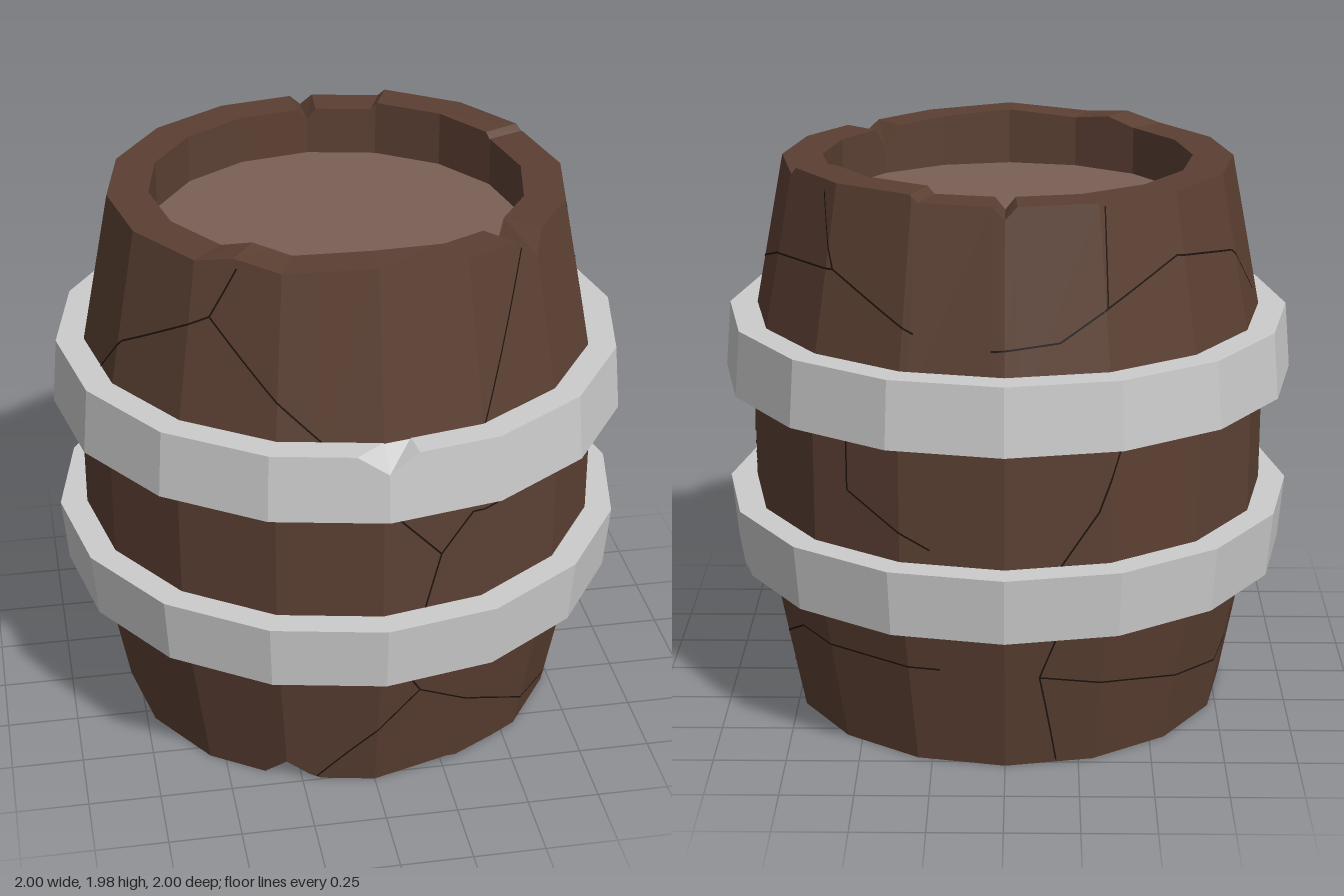
import * as THREE from 'three';

const SIDES = 16, STEP = 360 / SIDES;
const rad = THREE.MathUtils.degToRad;
const wood = new THREE.MeshStandardMaterial({ color: 0x5c4033, flatShading: true });
const lidWood = new THREE.MeshStandardMaterial({ color: 0x7a6055, flatShading: true });
const crackWood = new THREE.MeshStandardMaterial({ color: 0x1c120d, side: THREE.DoubleSide });
const metal = new THREE.MeshStandardMaterial({ color: 0xcccccc, flatShading: true });

// Point on a 16-sided prism; azimuth in degrees from the front (+z) towards +x
function polar(az, r, y) {
  const d = ((az % STEP) + STEP) % STEP - STEP / 2;
  const k = r * Math.cos(rad(STEP / 2)) / Math.cos(rad(d));
  return [k * Math.sin(rad(az)), y, k * Math.cos(rad(az))];
}

// Linear lookup through [azimuth, value] keys
function sample(keys, az) {
  for (let i = 1; i < keys.length; i++) {
    const [a, u] = keys[i - 1], [b, v] = keys[i];
    if (az <= b) return u + (v - u) * (az - a) / (b - a);
  }
  return keys[0][1];
}

// Sweep a profile around the axis, with extra stations where the edge is chipped
function sweep(profileAt, extraAngles) {
  const stations = new Set(extraAngles);
  for (let i = 0; i <= SIDES; i++) stations.add(i * STEP);
  const angles = [...stations].sort((a, b) => a - b);
  const pos = [], index = [];
  const n = profileAt(0).length;
  for (const az of angles) for (const [r, y] of profileAt(az)) pos.push(...polar(az, r, y));
  for (let i = 0; i < angles.length - 1; i++) {
    for (let j = 0; j < n - 1; j++) {
      const a = i * n + j, b = a + n;
      index.push(a, b, b + 1, a, b + 1, a + 1);
    }
  }
  const geo = new THREE.BufferGeometry();
  geo.setAttribute('position', new THREE.Float32BufferAttribute(pos, 3));
  geo.setIndex(index);
  const flat = geo.toNonIndexed();
  flat.computeVertexNormals();
  return flat;
}

// Outer barrel radius at a height
function barrelRadius(y) {
  if (y < 0.67) return 0.78 + 0.125 * y / 0.67;
  if (y > 1.31) return 0.905 - 0.125 * (y - 1.31) / 0.64;
  return 0.905;
}

// Worn rim heights: notches, a raised stave block and slight waves
const topRim = [[0, 1.98], [22.5, 1.963], [39, 1.95], [45, 1.88], [50, 1.95], [113, 1.95], [114.5, 1.972],
  [157, 1.975], [159, 1.95], [177, 1.95], [180, 1.91], [183, 1.95], [315, 1.95], [325, 1.98], [337.5, 1.96], [360, 1.98]];
const bottomRim = [[0, 0], [20, 0.03], [36, 0.01], [67.5, 0], [331, 0], [337.5, 0.08], [343, 0.02], [346, 0], [360, 0]];

// Thin crack lines as [azimuth, height] paths
const cracks = [
  [[326, 1.95], [320, 1.78], [347, 1.42]],
  [[320, 1.78], [294, 1.58], [284, 1.42]],
  [[40, 1.93], [23, 1.42]],
  [[0, 1.19], [13, 0.97], [9.5, 0.77]],
  [[13, 0.97], [20, 1.11], [26, 1.11], [51, 1.19]],
  [[5, 0.52], [10, 0.4], [-15, 0.01]],
  [[10, 0.4], [45, 0.13], [68, 0.04], [93, 0.04]],
  [[67, 1.94], [83, 1.54], [83, 1.42]],
  [[83, 1.54], [90, 1.59], [112, 1.68], [137, 1.7], [160, 1.54]],
  [[137, 1.7], [130, 1.94]],
  [[87, 1.19], [92, 0.77]],
  [[144, 1.19], [144, 0.98], [164, 0.82]],
  [[94, 0.54], [98, 0.19], [93, 0.02]],
  [[98, 0.19], [122, 0.37], [165, 0.37]],
  [[204, 1.94], [203, 1.62], [192, 1.52], [177, 1.5]],
  [[203, 1.62], [223, 1.75], [246, 1.7], [264, 1.5]],
  [[205, 1.17], [200, 0.95], [192, 0.77]],
  [[192, 0.52], [188, 0.35], [193, 0.01]],
  [[188, 0.35], [245, 0.2], [255, 0.54]],
];

function crackGeometry(paths, halfWidth = 0.003) {
  const pos = [];
  const corner = (az, y) => polar(az, barrelRadius(y) + 0.002, y);
  for (const path of paths) for (let s = 1; s < path.length; s++) {
    const [a0, y0] = path[s - 1], [a1, y1] = path[s];
    const dx = rad(a1 - a0) * 0.86, dy = y1 - y0, len = Math.hypot(dx, dy);
    const oa = THREE.MathUtils.radToDeg(-dy / len * halfWidth / 0.86), oy = dx / len * halfWidth;
    const steps = Math.ceil(len / 0.02);
    for (let i = 0; i < steps; i++) {
      const [p, q] = [i / steps, (i + 1) / steps].map(t => [a0 + (a1 - a0) * t, y0 + dy * t]);
      const A = corner(p[0] - oa, p[1] - oy), B = corner(q[0] - oa, q[1] - oy);
      const C = corner(q[0] + oa, q[1] + oy), D = corner(p[0] + oa, p[1] + oy);
      pos.push(...A, ...B, ...C, ...A, ...C, ...D);
    }
  }
  const geo = new THREE.BufferGeometry();
  geo.setAttribute('position', new THREE.Float32BufferAttribute(pos, 3));
  geo.computeVertexNormals();
  return geo;
}

export function createModel() {
  const group = new THREE.Group();
  const add = (name, geo, mat) => {
    const mesh = new THREE.Mesh(geo, mat);
    mesh.name = name;
    group.add(mesh);
    return mesh;
  };

  // Barrel body: bottom recess, bulging outside, top rim and recess
  const inner = 0.64, lidTop = 1.78, lidBottom = 0.18;
  add('barrelBody', sweep(az => {
    const top = sample(topRim, az), low = sample(bottomRim, az);
    return [[inner, lidBottom], [inner, low], [barrelRadius(low), low], [0.905, 0.67],
      [0.905, 1.31], [barrelRadius(top), top], [inner, top], [inner, lidTop]];
  }, [...topRim, ...bottomRim].map(k => k[0])), wood);

  // Lids set into both ends
  for (const [name, y, tilt] of [['topLid', lidTop, -1], ['bottomLid', lidBottom, 1]]) {
    const lid = add(name, new THREE.CircleGeometry(inner, SIDES), lidWood);
    lid.rotation.x = tilt * Math.PI / 2;
    lid.position.y = y;
  }

  add('cracks', crackGeometry(cracks), crackWood);

  // Upper hoop, chipped on its top edge at the front
  const upperChip = [[0, 1.36], [6, 1.42], [354, 1.42], [360, 1.36]];
  add('upperHoop', sweep(az => {
    const top = sample(upperChip, az);
    return [[0.88, 1.19], [1, 1.19], [0.98 + (1.42 - top) * 0.087, top], [0.88, 1.42], [0.88, 1.19]];
  }, upperChip.map(k => k[0])), metal);

  // Lower hoop, with a small nick in its bottom edge
  const lowerChip = [[0, 0.54], [110, 0.54], [112.5, 0.58], [114.5, 0.54], [360, 0.54]];
  add('lowerHoop', sweep(az => {
    const low = sample(lowerChip, az);
    return [[0.88, 0.54], [0.98 + (low - 0.54) * 0.087, low], [1, 0.77], [0.88, 0.77], [0.88, 0.54]];
  }, lowerChip.map(k => k[0])), metal);

  return group;
}
